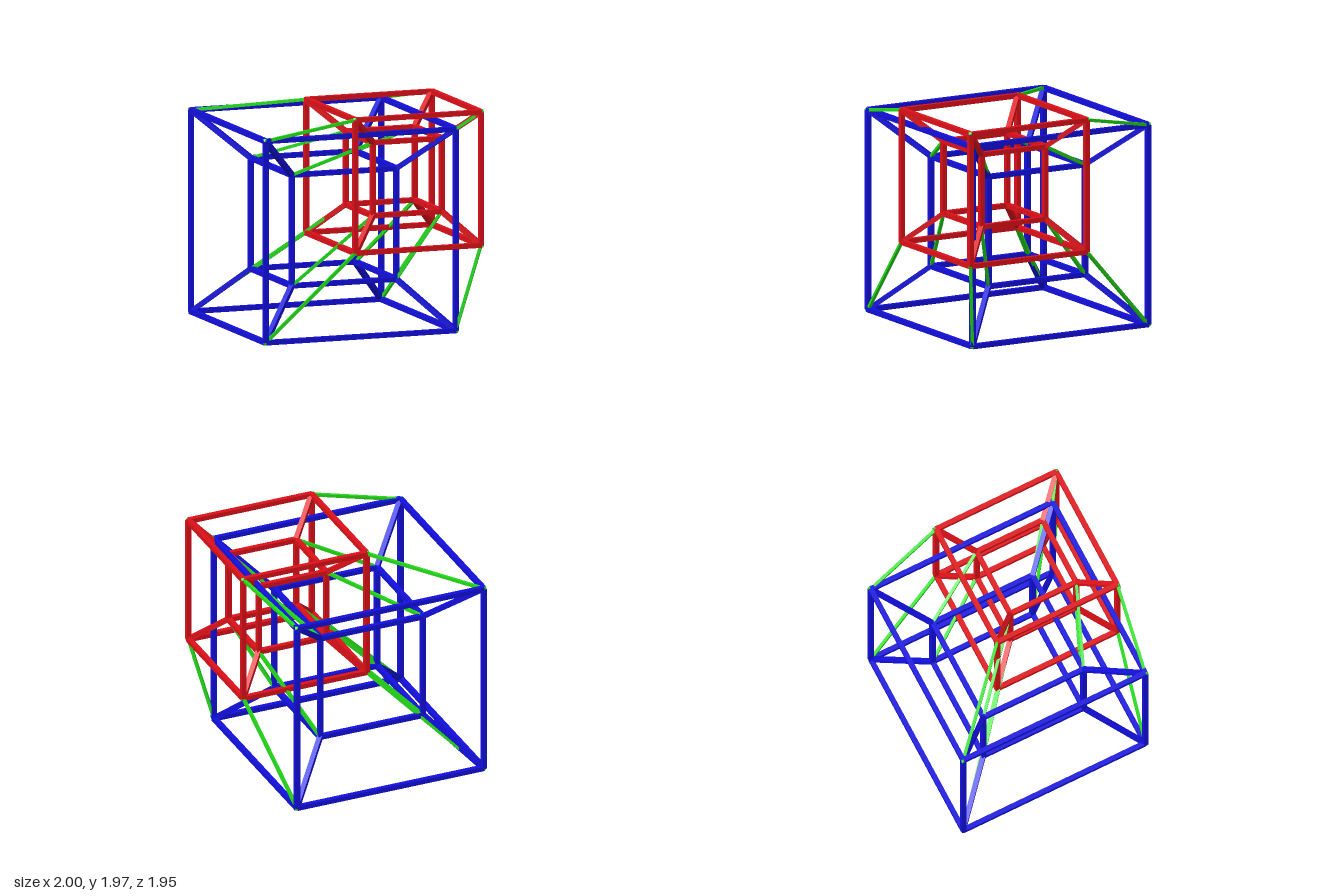
import * as THREE from 'three';
import { ConvexGeometry } from 'three/addons/geometries/ConvexGeometry.js';

const BAR = 0.043, LINK = 0.027;
const material = color => new THREE.MeshStandardMaterial({ color, flatShading: true });
const blue = material(0x120edc), red = material(0xdc1018), green = material(0x22dc18);

// Corner i of a cube: bits 0, 1, 2 choose low or high x, y, z
function corners(min, size) {
  return Array.from({ length: 8 }, (_, i) => new THREE.Vector3(
    min[0] + (i & 1 ? size : 0),
    min[1] + (i & 2 ? size : 0),
    min[2] + (i & 4 ? size : 0)));
}

// Square bar running between two points
function bar(name, a, b, width, mat) {
  const mesh = new THREE.Mesh(new THREE.BoxGeometry(width, width, a.distanceTo(b)), mat);
  mesh.position.copy(a).add(b).multiplyScalar(0.5);
  mesh.lookAt(b);
  mesh.name = name;
  return mesh;
}

// Cube-like joint with its eight corners cut off
function jointGeometry() {
  const r = BAR / 2 * 0.98, points = [];
  for (const s of [-r, r]) for (const t of [-r, r]) {
    points.push(new THREE.Vector3(0, s, t), new THREE.Vector3(s, 0, t), new THREE.Vector3(s, t, 0));
  }
  return new ConvexGeometry(points);
}

// Twelve edges of one cube
function addEdges(group, name, pts, mat) {
  for (let i = 0; i < 8; i++) for (const bit of [1, 2, 4]) {
    if (!(i & bit)) group.add(bar(name, pts[i], pts[i | bit], BAR, mat));
  }
}

export function createModel() {
  const model = new THREE.Group();
  model.name = 'nestedCubeFrame';
  const joint = jointGeometry();

  const frames = [
    { name: 'largeFrame', mat: blue, outer: corners([-0.978, 0.022, -0.952], 1.77), inner: corners([-0.578, 0.436, -0.553], 0.973) },
    { name: 'smallFrame', mat: red, outer: corners([-0.192, 0.781, -0.223], 1.169), inner: corners([0.073, 1.053, 0.039], 0.642) },
  ];

  // Each frame: outer cube, inner cube, and struts between their corners
  for (const { name, mat, outer, inner } of frames) {
    const group = new THREE.Group();
    group.name = name;
    addEdges(group, 'outerEdge', outer, mat);
    addEdges(group, 'innerEdge', inner, mat);
    for (let i = 0; i < 8; i++) {
      group.add(bar('cornerStrut', outer[i], inner[i], BAR, mat));
      for (const [p, m] of [[outer[i], green], [inner[i], mat]]) {
        const mesh = new THREE.Mesh(joint, m);
        mesh.position.copy(p);
        mesh.name = 'joint';
        group.add(mesh);
      }
    }
    model.add(group);
  }

  // Thin links joining matching corners of the two frames
  const links = new THREE.Group();
  links.name = 'links';
  for (const layer of ['outer', 'inner']) for (let i = 0; i < 8; i++) {
    links.add(bar(layer + 'Link', frames[0][layer][i], frames[1][layer][i], LINK, green));
  }
  model.add(links);
  return model;
}
